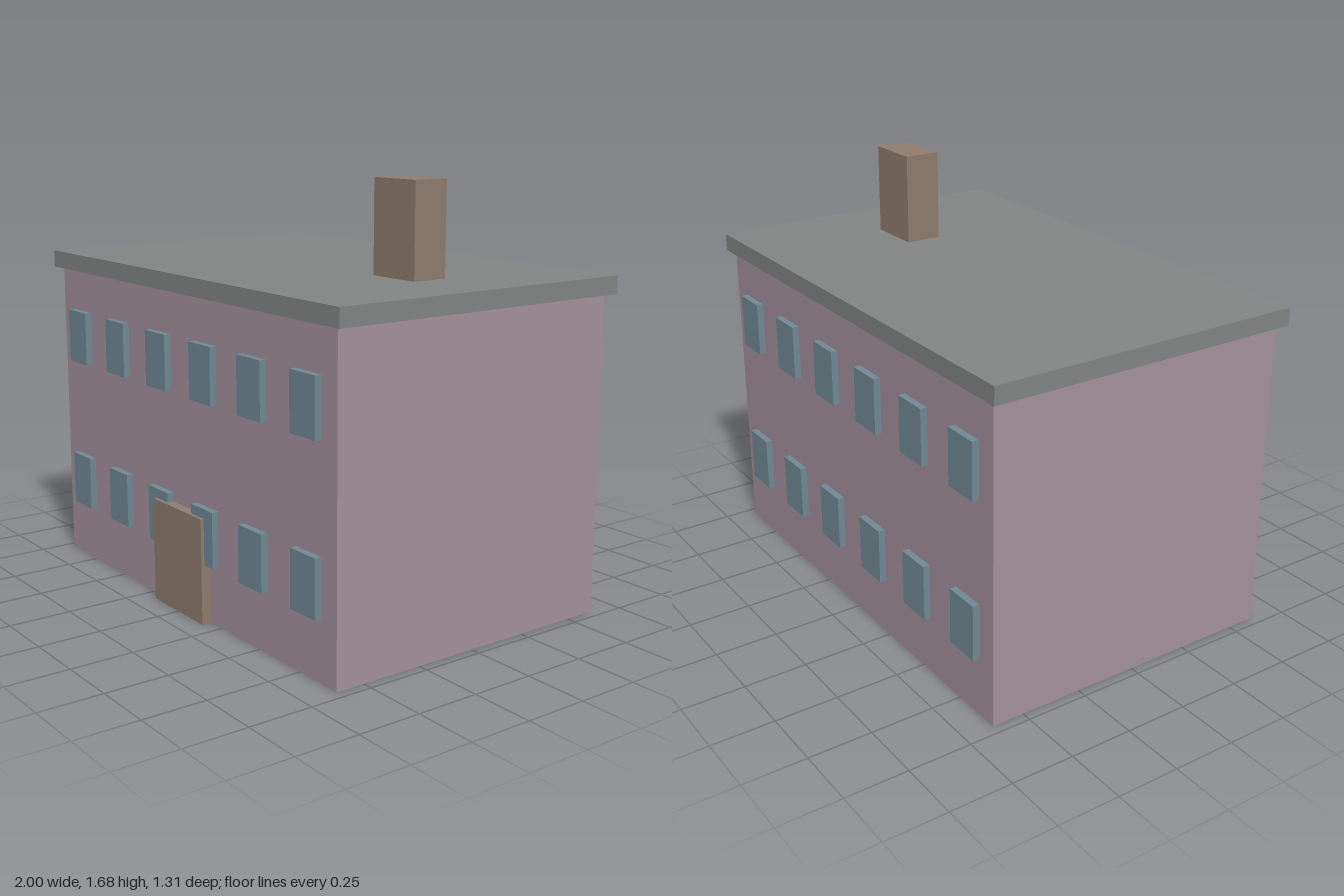
import * as THREE from 'three';

const material = (name, color) => {
  const m = new THREE.MeshStandardMaterial({ color });
  m.name = name;
  return m;
};

// Box given by its lower and upper corners
function block(name, mat, [x0, y0, z0], [x1, y1, z1]) {
  const mesh = new THREE.Mesh(new THREE.BoxGeometry(x1 - x0, y1 - y0, z1 - z0), mat);
  mesh.position.set((x0 + x1) / 2, (y0 + y1) / 2, (z0 + z1) / 2);
  mesh.name = name;
  return mesh;
}

export function createModel() {
  const wall = material('mauve wall', 0xa3909b);
  const slab = material('grey roof', 0x828484);
  const glass = material('blue window', 0x708893);
  const brown = material('brown', 0x8d7b6e);

  const house = new THREE.Group();
  house.name = 'house';

  // Main volume, flat roof and chimney
  house.add(
    block('walls', wall, [-0.96, 0, -0.63], [0.96, 1.25, 0.617]),
    block('roof', slab, [-1, 1.25, -0.655], [1, 1.32, 0.642]),
    block('chimney', brown, [0.46, 1.32, -0.08], [0.69, 1.68, 0.067]),
    block('door', brown, [-0.175, 0, 0.605], [0.175, 0.417, 0.657])
  );

  // Two rows of six windows on the front and the back
  const windows = new THREE.Group();
  windows.name = 'windows';
  for (const [side, z0, z1] of [['front', 0.605, 0.644], ['back', -0.657, -0.62]]) {
    for (const y of [0.235, 0.86]) {
      for (let i = 0; i < 6; i++) {
        const x = (i - 2.5) * 0.321;
        windows.add(block(`${side}Window`, glass, [x - 0.073, y, z0], [x + 0.073, y + 0.22, z1]));
      }
    }
  }
  house.add(windows);
  return house;
}
